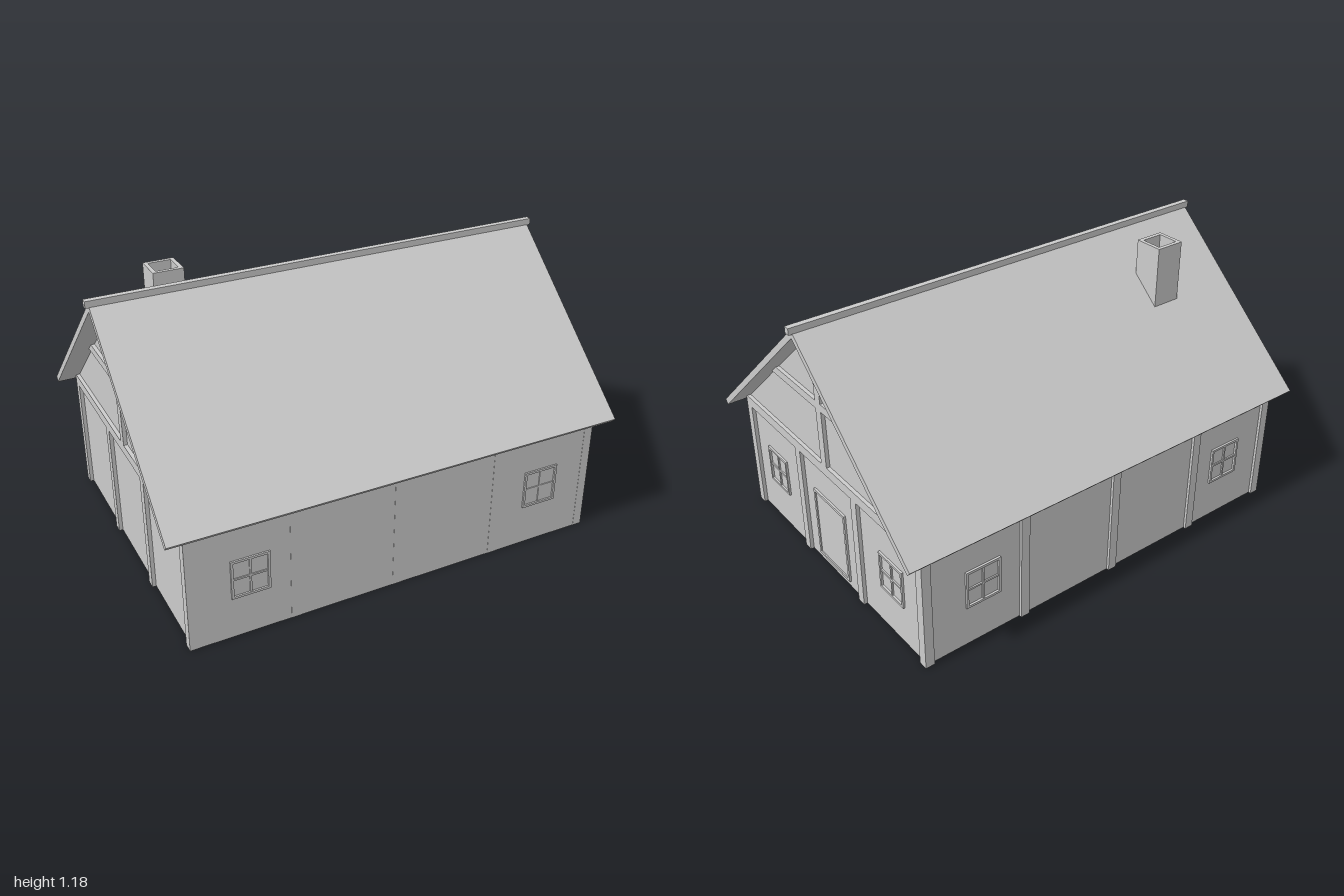
import * as THREE from 'three';

const material = new THREE.MeshStandardMaterial({ color: 0xcccccc, flatShading: true, side: THREE.DoubleSide });

const WALL_X = 0.91, WALL_Z = 0.67;   // outer faces of the timber frame
const BEAM = 0.04;                    // timber thickness
const EAVE = 0.505, PLATE_TOP = 0.545;
const APEX = 1.165, SLOPE = 0.887, ROOF_DROP = 0.034;

const roofUnderside = z => APEX - ROOF_DROP - SLOPE * Math.abs(z);

function add(parent, geometry, name) {
  const mesh = new THREE.Mesh(geometry, material);
  mesh.name = name;
  parent.add(mesh);
  return mesh;
}

// Box given by its lower and upper limits on each axis
function box(parent, name, [x0, x1], [y0, y1], [z0, z1]) {
  const mesh = add(parent, new THREE.BoxGeometry(x1 - x0, y1 - y0, z1 - z0), name);
  mesh.position.set((x0 + x1) / 2, (y0 + y1) / 2, (z0 + z1) / 2);
  return mesh;
}

// Outline in (z, y), extruded along x from x0 to x1
function profileAlongX(parent, name, points, x0, x1) {
  const shape = new THREE.Shape(points.map(([z, y]) => new THREE.Vector2(-z, y)));
  const geometry = new THREE.ExtrudeGeometry(shape, { depth: x1 - x0, bevelEnabled: false });
  geometry.rotateY(Math.PI / 2);
  geometry.translate(x0, 0, 0);
  return add(parent, geometry, name);
}

// Rectangular frame in the xy plane, centred on the origin
function frameGeometry(w, h, bar, depth) {
  const rect = (Type, a, b) => {
    const r = new Type();
    r.moveTo(-a, -b); r.lineTo(a, -b); r.lineTo(a, b); r.lineTo(-a, b); r.closePath();
    return r;
  };
  const shape = rect(THREE.Shape, w / 2, h / 2);
  shape.holes.push(rect(THREE.Path, w / 2 - bar, h / 2 - bar));
  const geometry = new THREE.ExtrudeGeometry(shape, { depth, bevelEnabled: false });
  return geometry.translate(0, 0, -depth / 2);
}

function makeWindow(parent, x, z, turned) {
  const group = new THREE.Group();
  group.name = 'window';
  const w = 0.16, h = 0.17, bar = 0.01, depth = 0.026;
  add(group, frameGeometry(w, h, bar, depth), 'windowFrame');
  box(group, 'windowMullion', [-0.004, 0.004], [-h / 2 + bar, h / 2 - bar], [-0.01, 0.01]);
  box(group, 'windowTransom', [-w / 2 + bar, w / 2 - bar], [-0.004, 0.004], [-0.01, 0.01]);
  group.position.set(x, 0.267, z);
  if (turned) group.rotation.y = Math.PI / 2;
  parent.add(group);
}

export function createModel() {
  const house = new THREE.Group();
  house.name = 'house';

  // Wall panels: the front one sits flush with its posts, the others are recessed
  const inX = WALL_X - 0.02;
  const frontZ = WALL_Z - 0.004, backZ = -WALL_Z + 0.016;
  box(house, 'frontWall', [-inX, inX], [0, EAVE], [frontZ - 0.008, frontZ + 0.003]);
  box(house, 'backWall', [-inX, inX], [0, EAVE], [backZ - 0.004, backZ + 0.004]);
  for (const s of [-1, 1]) {
    const x = s * inX;
    box(house, 'sideWall', [x - 0.004, x + 0.004], [0, EAVE], [-WALL_Z + 0.02, WALL_Z - 0.02]);
    const half = (APEX - ROOF_DROP - EAVE) / SLOPE;
    const edge = Math.min(half, WALL_Z - 0.01);
    profileAlongX(house, 'gablePanel', [
      [-edge, EAVE], [edge, EAVE], [edge, roofUnderside(edge)], [0, roofUnderside(0)], [-edge, roofUnderside(edge)],
    ], x - 0.004, x + 0.004);
  }

  // Posts of the long walls, corners included, and their top plates
  const h = BEAM / 2;
  for (const s of [-1, 1]) {
    const z = s * (WALL_Z - h);
    for (const x of [-WALL_X + h, -0.47, -0.02, 0.44, WALL_X - h])
      box(house, 'wallPost', [x - h, x + h], [0, EAVE], [z - h, z + h]);
    box(house, 'topPlate', [-WALL_X, WALL_X], [EAVE, PLATE_TOP], [z - h, z + h]);
  }

  // Timber framing of both gable ends
  for (const s of [-1, 1]) {
    const x = s * (WALL_X - h), span = [x - h, x + h];
    for (const z of [-0.21, 0.225])
      box(house, 'gableWallPost', span, [0, EAVE], [z - h, z + h]);
    box(house, 'tieBeam', span, [EAVE - 0.003, PLATE_TOP], [-WALL_Z, WALL_Z]);
    box(house, 'kingPost', span, [PLATE_TOP, roofUnderside(h) + 0.008], [-h, h]);
    const zAt = y => (APEX - ROOF_DROP - y) / SLOPE;
    profileAlongX(house, 'collarBeam', [
      [-zAt(0.8), 0.8], [zAt(0.8), 0.8], [zAt(0.835), 0.835], [-zAt(0.835), 0.835],
    ], ...span);
  }

  // Windows
  for (const x of [-0.655, 0.66]) makeWindow(house, x, frontZ - 0.003);
  for (const x of [-0.66, 0.635]) makeWindow(house, x, backZ);
  for (const z of [-0.44, 0.45]) makeWindow(house, inX, z, true);

  // Door
  const door = new THREE.Group();
  door.name = 'door';
  add(door, frameGeometry(0.24, 0.33, 0.012, 0.026), 'doorFrame');
  box(door, 'doorLeaf', [-0.108, 0.108], [-0.153, 0.153], [-0.008, 0.008]);
  door.position.set(inX, 0.195, 0.01);
  door.rotation.y = Math.PI / 2;
  house.add(door);

  // Roof slopes and ridge beam
  for (const s of [-1, 1])
    profileAlongX(house, 'roofSlope', [
      [0, APEX], [s * 0.718, 0.528], [s * 0.701, 0.509], [0, APEX - ROOF_DROP],
    ], -0.985, 0.985);
  box(house, 'ridgeBeam', [-1, 1], [1.152, 1.18], [-0.013, 0.013]);

  // Hollow chimney
  const chimney = add(house, frameGeometry(0.13, 0.126, 0.017, 0.31), 'chimney');
  chimney.rotation.x = -Math.PI / 2;
  chimney.position.set(-0.61, 1.01, -0.233);

  return house;
}
